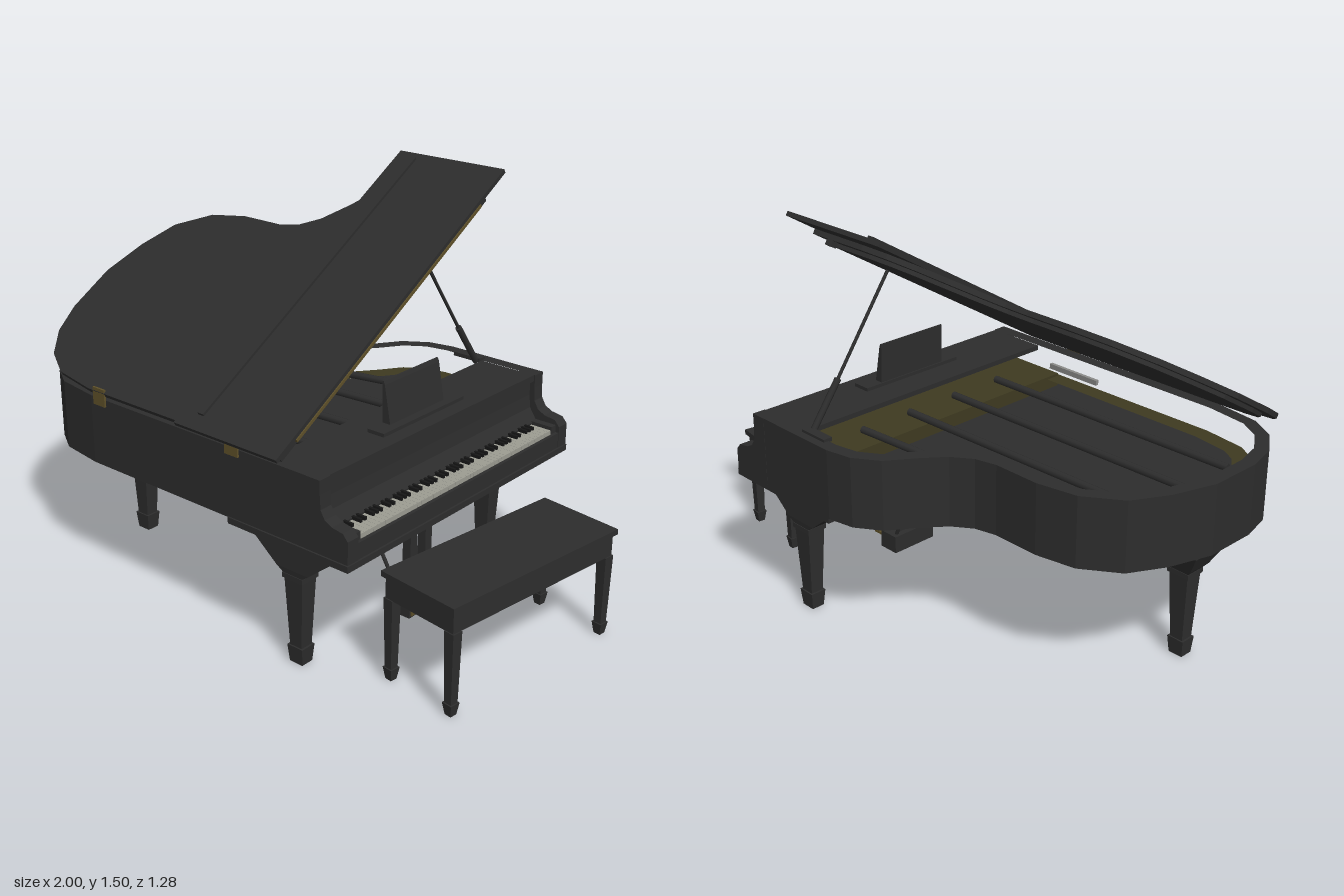
import * as THREE from 'three';

const mat = (name, color) => Object.assign(new THREE.MeshStandardMaterial({ color }), { name });
const black = mat('black lacquer', 0x2d2d2d);
const ebony = mat('ebony keys', 0x161616);
const ivory = mat('ivory keys', 0x9c9c92);
const brass = mat('brass', 0x5e5029);
const iron = mat('bronzed iron', 0x3e3a20);
const silver = mat('steel', 0x8a8a88);

// Case plan as [x, z]: bass side, round tail, bent treble side
const CURVE = [[-0.62, 0.605], [-0.8, 0.58], [-0.9, 0.52], [-0.97, 0.42], [-1, 0.3], [-1, 0.1],
  [-0.95, -0.06], [-0.88, -0.19], [-0.75, -0.28], [-0.6, -0.31], [-0.42, -0.31], [-0.34, -0.33],
  [-0.27, -0.38], [-0.2, -0.47], [-0.14, -0.56], [-0.05, -0.62], [0.05, -0.64]];
const plan = (frontX) => [[frontX, 0.6], ...CURVE, [frontX, -0.64]];

// Moves a closed outline inwards by d
function inset(pts, d) {
  const n = pts.length;
  const normal = (a, b) => {
    const dx = b[0] - a[0], dz = b[1] - a[1], l = Math.hypot(dx, dz);
    return [-dz / l, dx / l];
  };
  return pts.map((p, i) => {
    const a = normal(pts[(i + n - 1) % n], p), b = normal(p, pts[(i + 1) % n]);
    const k = d / (1 + a[0] * b[0] + a[1] * b[1]);
    return [p[0] + (a[0] + b[0]) * k, p[1] + (a[1] + b[1]) * k];
  });
}

function add(parent, name, geo, material, x = 0, y = 0, z = 0) {
  const m = new THREE.Mesh(geo, material);
  m.name = name;
  m.position.set(x, y, z);
  parent.add(m);
  return m;
}

// Box given by its limits on each axis
function box(parent, name, material, [x0, x1], [y0, y1], [z0, z1]) {
  return add(parent, name, new THREE.BoxGeometry(x1 - x0, y1 - y0, z1 - z0), material,
    (x0 + x1) / 2, (y0 + y1) / 2, (z0 + z1) / 2);
}

// Plan outline extruded upwards, with an optional hole
function slab(parent, name, material, pts, y0, y1, hole) {
  const v = (list) => list.map(([x, z]) => new THREE.Vector2(x, -z));
  const shape = new THREE.Shape(v(pts));
  if (hole) shape.holes.push(new THREE.Path(v(hole)));
  const geo = new THREE.ExtrudeGeometry(shape, { depth: y1 - y0, bevelEnabled: false });
  return add(parent, name, geo.rotateX(-Math.PI / 2), material, 0, y0, 0);
}

// Side profile in [x, y] extruded along z
function profile(parent, name, material, pts, z0, z1) {
  const shape = new THREE.Shape(pts.map(([x, y]) => new THREE.Vector2(x, y)));
  return add(parent, name, new THREE.ExtrudeGeometry(shape, { depth: z1 - z0, bevelEnabled: false }), material, 0, 0, z0);
}

// Four-sided tapering block; sizes are [x, z]
function taper(parent, name, bottom, top, y0, y1) {
  const geo = new THREE.BoxGeometry(1, y1 - y0, 1);
  const p = geo.attributes.position;
  for (let i = 0; i < p.count; i++) {
    const s = p.getY(i) > 0 ? top : bottom;
    p.setX(i, p.getX(i) * s[0]);
    p.setZ(i, p.getZ(i) * s[1]);
  }
  geo.computeVertexNormals();
  return add(parent, name, geo, black, 0, (y0 + y1) / 2, 0);
}

// Round rod between two points
function rod(parent, name, material, a, b, r) {
  const A = new THREE.Vector3(...a), B = new THREE.Vector3(...b);
  const m = add(parent, name, new THREE.CylinderGeometry(r, r, A.distanceTo(B), 8), material);
  m.position.copy(A).lerp(B, 0.5);
  m.quaternion.setFromUnitVectors(new THREE.Vector3(0, 1, 0), B.sub(A).normalize());
}

function group(parent, name, x = 0, y = 0, z = 0) {
  const g = new THREE.Group();
  g.name = name;
  g.position.set(x, y, z);
  parent.add(g);
  return g;
}

function buildCase(root) {
  const g = group(root, 'case');
  const outer = plan(0.44), inner = inset(outer, 0.05);
  slab(g, 'rim', black, outer, 0.49, 0.75, inner);
  slab(g, 'soundboard', black, inset(outer, 0.02), 0.491, 0.62);
  slab(g, 'ironPlate', iron, inset(outer, 0.051), 0.62, 0.66, inset(outer, 0.12));
  box(g, 'pinBlock', iron, [0.1, 0.39], [0.62, 0.67], [-0.58, 0.54]);
  for (const [z, x] of [[0.3, -0.86], [0.08, -0.86], [-0.14, -0.8], [-0.36, -0.2]])
    rod(g, 'plateStrut', black, [0.2, 0.685, z], [x, 0.67, z + 0.05], 0.014);
  box(g, 'steelStrip', silver, [-0.1, 0.14], [0.68, 0.7], [0.535, 0.549]);
  box(g, 'frontDeck', black, [0.22, 0.44], [0.73, 0.749], [-0.59, 0.55]);

  // Cheeks, fallboard and keybed
  const cheek = [[0.4, 0.49], [0.575, 0.49], [0.575, 0.575], [0.555, 0.598], [0.51, 0.605], [0.48, 0.62],
    [0.463, 0.65], [0.46, 0.7], [0.46, 0.75], [0.4, 0.75]];
  profile(g, 'bassCheek', black, cheek, 0.55, 0.601);
  profile(g, 'trebleCheek', black, cheek, -0.641, -0.59);
  profile(g, 'fallboard', black, [[0.4, 0.5], [0.475, 0.5], [0.475, 0.575], [0.445, 0.62], [0.435, 0.72],
    [0.455, 0.725], [0.455, 0.75], [0.4, 0.75]], -0.59, 0.55);
  box(g, 'keybed', black, [0.055, 0.58], [0.47, 0.493], [-0.64, 0.607]);
  box(g, 'underFrame', black, [0.1, 0.47], [0.458, 0.47], [-0.6, 0.57]);
  box(g, 'keySlip', black, [0.56, 0.573], [0.49, 0.552], [-0.59, 0.55]);
  box(g, 'bassKeyBlock', black, [0.47, 0.56], [0.49, 0.58], [0.522, 0.55]);
  box(g, 'trebleKeyBlock', black, [0.47, 0.56], [0.49, 0.58], [-0.59, -0.562]);

  // Keyboard
  const keys = group(root, 'keyboard'), step = 1.08 / 52;
  for (let i = 0; i < 52; i++) {
    const z = 0.52 - i * step;
    box(keys, 'whiteKey', ivory, [0.47, 0.559], [0.5, 0.568], [z - step + 0.0008, z]);
    if (i < 51 && [0, 2, 3, 5, 6].includes(i % 7))
      box(keys, 'blackKey', ebony, [0.47, 0.51], [0.565, 0.58], [z - step - 0.005, z - step + 0.005]);
  }

  // Music desk
  box(g, 'deskShelf', black, [0.33, 0.4], [0.75, 0.763], [-0.228, 0.215]);
  profile(g, 'musicDesk', black, [[0.335, 0.762], [0.368, 0.762], [0.343, 0.9], [0.338, 0.913], [0.332, 0.913]], -0.155, 0.142);
}

function buildLid(root) {
  const g = group(root, 'lid', 0, 0.765, 0.6);
  g.rotation.x = 0.541;
  const shift = (pts) => pts.map(([x, z]) => [x, z - 0.6]);
  slab(g, 'mainLid', black, shift(plan(0.3)), 0, 0.018);
  slab(g, 'lidInnerPanel', black, shift(inset(plan(0.3), 0.05)), -0.014, 0);
  box(g, 'foldedFlap', black, [-0.16, 0.306], [0.018, 0.034], [-1.37, 0.02]);
  box(g, 'flapBatten', black, [-0.092, -0.066], [0.034, 0.044], [-1.34, -0.04]);
  box(g, 'flapHinge', brass, [0.3, 0.31], [0.009, 0.02], [-1.2, -0.08]);
  box(g, 'flapCatch', black, [0.2, 0.23], [-0.02, 0], [-1.235, -1.21]);

  rod(root, 'lidProp', black, [0.2, 1.255, -0.22], [0.2, 0.9, -0.468], 0.006);
  rod(root, 'lidPropBase', black, [0.2, 0.91, -0.461], [0.2, 0.745, -0.58], 0.012);
  box(root, 'propBlock', black, [0.1, 0.22], [0.745, 0.76], [-0.61, -0.575]);
  box(root, 'tailHinge', brass, [-0.6, -0.54], [0.725, 0.79], [0.604, 0.612]);
  box(root, 'frontHinge', brass, [0.05, 0.11], [0.725, 0.76], [0.601, 0.609]);
}

// Tapered square leg with a bracket of the given top and bottom size
function buildLeg(root, name, x, z, top, mid) {
  const g = group(root, name, x, 0, z);
  taper(g, 'bracketTop', top, top, 0.44, 0.492);
  taper(g, 'bracket', mid, top, 0.36, 0.44);
  taper(g, 'neck', [0.085, 0.075], mid, 0.34, 0.36);
  taper(g, 'collar', [0.09, 0.08], [0.09, 0.08], 0.322, 0.34);
  taper(g, 'shaft', [0.052, 0.05], [0.078, 0.07], 0.06, 0.322);
  taper(g, 'foot', [0.056, 0.05], [0.068, 0.062], 0, 0.065);
}

function buildPedals(root) {
  const g = group(root, 'pedalLyre');
  box(g, 'pedalBox', black, [0.345, 0.43], [0.02, 0.09], [-0.1, 0.095]);
  box(g, 'pedalPlate', brass, [0.43, 0.435], [0.028, 0.082], [-0.092, 0.088]);
  for (const z of [-0.04, 0.045]) box(g, 'lyrePost', black, [0.37, 0.405], [0.09, 0.47], [z - 0.018, z + 0.018]);
  for (const z of [-0.055, 0, 0.05]) box(g, 'pedal', brass, [0.43, 0.51], [0.04, 0.05], [z - 0.012, z + 0.012]);
  for (const s of [-1, 1]) rod(g, 'lyreBrace', black, [0.37, 0.08, s * 0.075], [0.18, 0.47, s * 0.105], 0.007);
  box(g, 'crossRail', black, [0.29, 0.31], [0.425, 0.442], [-0.51, 0.5]);
}

function buildBench(root) {
  const g = group(root, 'bench', 0.783, 0, 0.055);
  g.rotation.y = -0.13;
  box(g, 'seat', black, [-0.163, 0.163], [0.385, 0.405], [-0.4, 0.4]);
  box(g, 'apron', black, [-0.152, 0.152], [0.305, 0.385], [-0.388, 0.388]);
  for (const x of [-0.137, 0.137]) for (const z of [-0.372, 0.372]) {
    const leg = group(g, 'benchLeg', x, 0, z);
    taper(leg, 'benchLegShaft', [0.03, 0.03], [0.04, 0.04], 0.04, 0.306);
    taper(leg, 'benchFoot', [0.026, 0.026], [0.04, 0.04], 0, 0.045);
  }
}

export function createModel() {
  const root = new THREE.Group();
  root.name = 'grandPiano';
  buildCase(root);
  buildLid(root);
  buildLeg(root, 'tailLeg', -0.83, 0.19, [0.21, 0.17], [0.12, 0.1]);
  buildLeg(root, 'bassLeg', 0.3, 0.52, [0.34, 0.08], [0.14, 0.08]);
  buildLeg(root, 'trebleLeg', 0.3, -0.54, [0.34, 0.08], [0.14, 0.08]);
  buildPedals(root);
  buildBench(root);
  return root;
}
